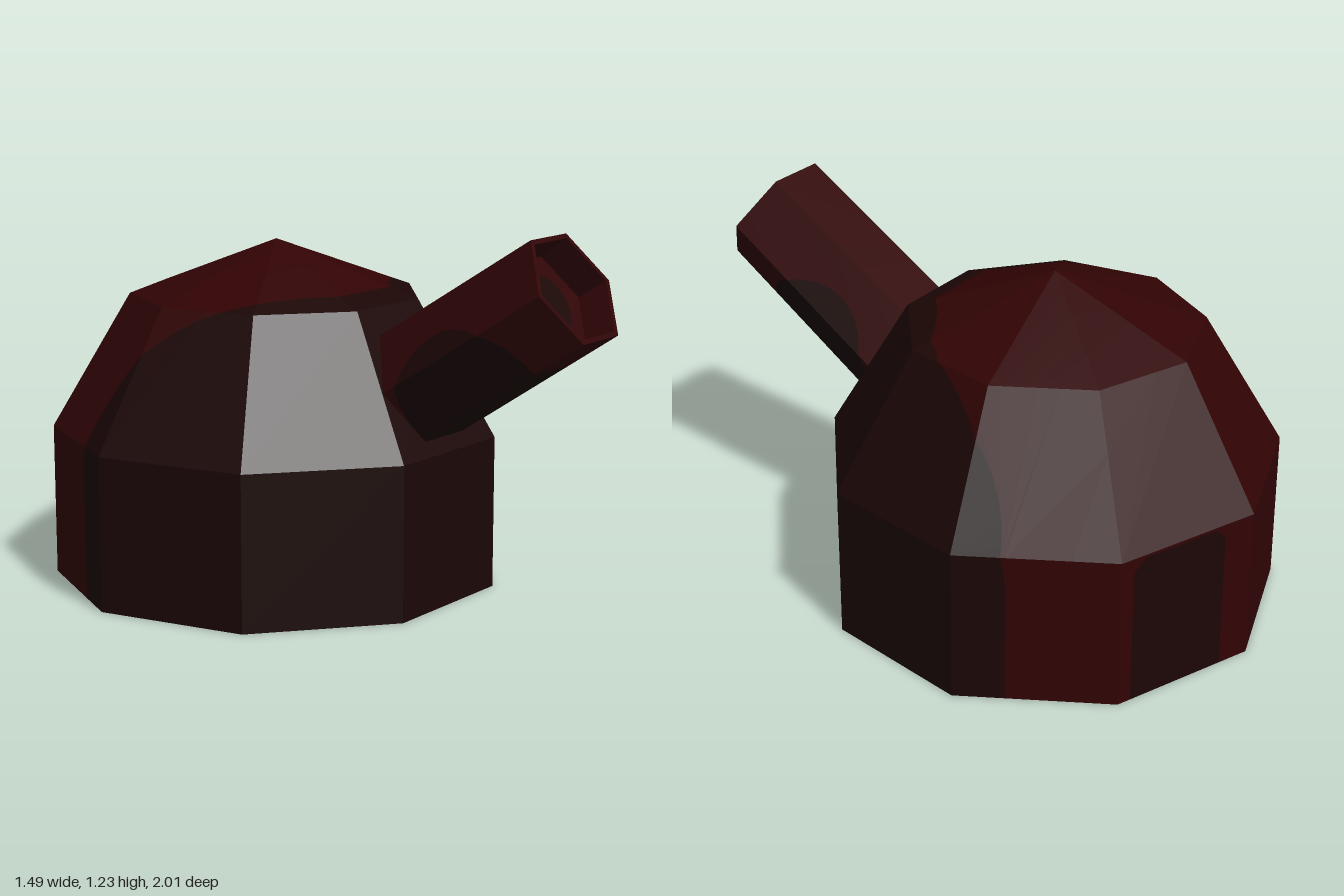
import * as THREE from 'three';

const named = (name, color) => {
  const m = new THREE.MeshStandardMaterial({ color });
  m.name = name;
  return m;
};

const V = (x, y, z) => new THREE.Vector3(x, y, z);

// Keeps the part of a convex polygon on one side of a plane (sign 1: below c, -1: above c)
function clip(poly, { n, c }, sign) {
  const out = [];
  poly.forEach((p, i) => {
    const q = poly[(i + 1) % poly.length];
    const a = sign * (n.dot(p) - c), b = sign * (n.dot(q) - c);
    if (a <= 0) out.push(p);
    if (a * b < 0) out.push(p.clone().lerp(q, a / (a - b)));
  });
  return out;
}

// Splits faces into those inside any of the convex paint regions and the rest
function paint(faces, regions) {
  const dark = [];
  let plain = faces;
  for (const region of regions) {
    const rest = [];
    for (const face of plain) {
      let inside = face;
      for (const plane of region) {
        const off = clip(inside, plane, -1);
        if (off.length > 2) rest.push(off);
        inside = clip(inside, plane, 1);
        if (inside.length < 3) break;
      }
      if (inside.length > 2) dark.push(inside);
    }
    plain = rest;
  }
  return { plain, dark };
}

// Flat-shaded mesh from convex polygons
function facesMesh(faces, material, name) {
  const pts = [];
  for (const f of faces)
    for (let i = 1; i < f.length - 1; i++) pts.push(f[0], f[i], f[i + 1]);
  const g = new THREE.BufferGeometry().setFromPoints(pts);
  g.computeVertexNormals();
  const mesh = new THREE.Mesh(g, material);
  mesh.name = name;
  return mesh;
}

// Quads between successive rings
function loft(rings) {
  const faces = [];
  for (let k = 0; k < rings.length - 1; k++)
    rings[k].forEach((p, i) => {
      const j = (i + 1) % rings[k].length;
      faces.push([p, rings[k][j], rings[k + 1][j], rings[k + 1][i]]);
    });
  return faces;
}

// Rounded paint edge seen from the side: tangent planes of a circle
function sideCircle(z, y, r, from, to, step) {
  const planes = [];
  for (let a = from; a <= to; a += step) {
    const t = THREE.MathUtils.degToRad(a);
    const n = V(0, Math.sin(t), -Math.cos(t));
    planes.push({ n, c: n.dot(V(0, y, z)) + r });
  }
  return planes;
}

export function createModel() {
  const red = named('dark red', 0x310304);
  const brown = named('blackish brown', 0x1b0605);
  const model = new THREE.Group();
  model.name = 'turret';

  // Nine-sided domed body
  const ring = (r, y) => Array.from({ length: 9 }, (_, i) => {
    const t = THREE.MathUtils.degToRad(20 + 40 * i);
    return V(r * Math.sin(t), y, -0.25 + r * Math.cos(t));
  });
  const rings = [ring(0.755, 0), ring(0.755, 0.51), ring(0.49, 0.96)];
  const top = rings[2], apex = V(0, 1.14, -0.25);
  const bodyFaces = [
    ...loft(rings),
    ...top.map((p, i) => [p, top[(i + 1) % 9], apex]),
  ];

  // Large dark front area, and one rounded dark panel on the left back wall
  const frontArea = sideCircle(0.085, 0.385, 0.61, 0, 90, 6);
  const backPanel = [
    { n: V(0, 0, 1), c: -0.7 },
    { n: V(0, 1, 0), c: 0.5 },
    { n: V(-1, 0, 0), c: -0.105 },
    { n: V(1, 0, 0), c: 0.44 },
    { n: V(-1, 1, 0), c: 0.36 },
    { n: V(1, 1, 0), c: 0.9 },
  ];
  const body = paint(bodyFaces, [frontArea, backPanel]);
  model.add(facesMesh(body.plain, red, 'body'));
  model.add(facesMesh(body.dark, brown, 'bodyPatches'));
  model.add(facesMesh([[...rings[0]].reverse()], brown, 'bodyBase'));

  // Hexagonal barrel with a recessed muzzle, tilted upwards
  const tilt = 0.572;
  const axis = V(0, Math.sin(tilt), Math.cos(tilt));
  const up = V(0, Math.cos(tilt), -Math.sin(tilt));
  const muzzle = V(0, 1.078, 0.905);
  const hex = (d, r) => Array.from({ length: 6 }, (_, i) => {
    const t = i * Math.PI / 3;
    return muzzle.clone().addScaledVector(axis, d)
      .addScaledVector(up, r * Math.sin(t)).add(V(r * Math.cos(t), 0, 0));
  });
  const outer = hex(0, 0.205), inner = hex(0, 0.187), deep = hex(-0.11, 0.18);
  const barrel = paint(loft([hex(-0.85, 0.215), outer]),
    [sideCircle(0.62, 0.71, 0.235, 0, 345, 15)]);
  model.add(facesMesh(barrel.plain, red, 'barrel'));
  model.add(facesMesh(barrel.dark, brown, 'barrelPatches'));
  model.add(facesMesh([...loft([outer, inner, deep]), deep], red, 'muzzle'));

  // Dark round spot at the bottom of the bore
  const spot = new THREE.Mesh(new THREE.CircleGeometry(0.1, 24), brown);
  spot.name = 'boreSpot';
  spot.position.copy(muzzle).addScaledVector(axis, -0.106);
  spot.rotation.x = -tilt;
  model.add(spot);

  return model;
}
